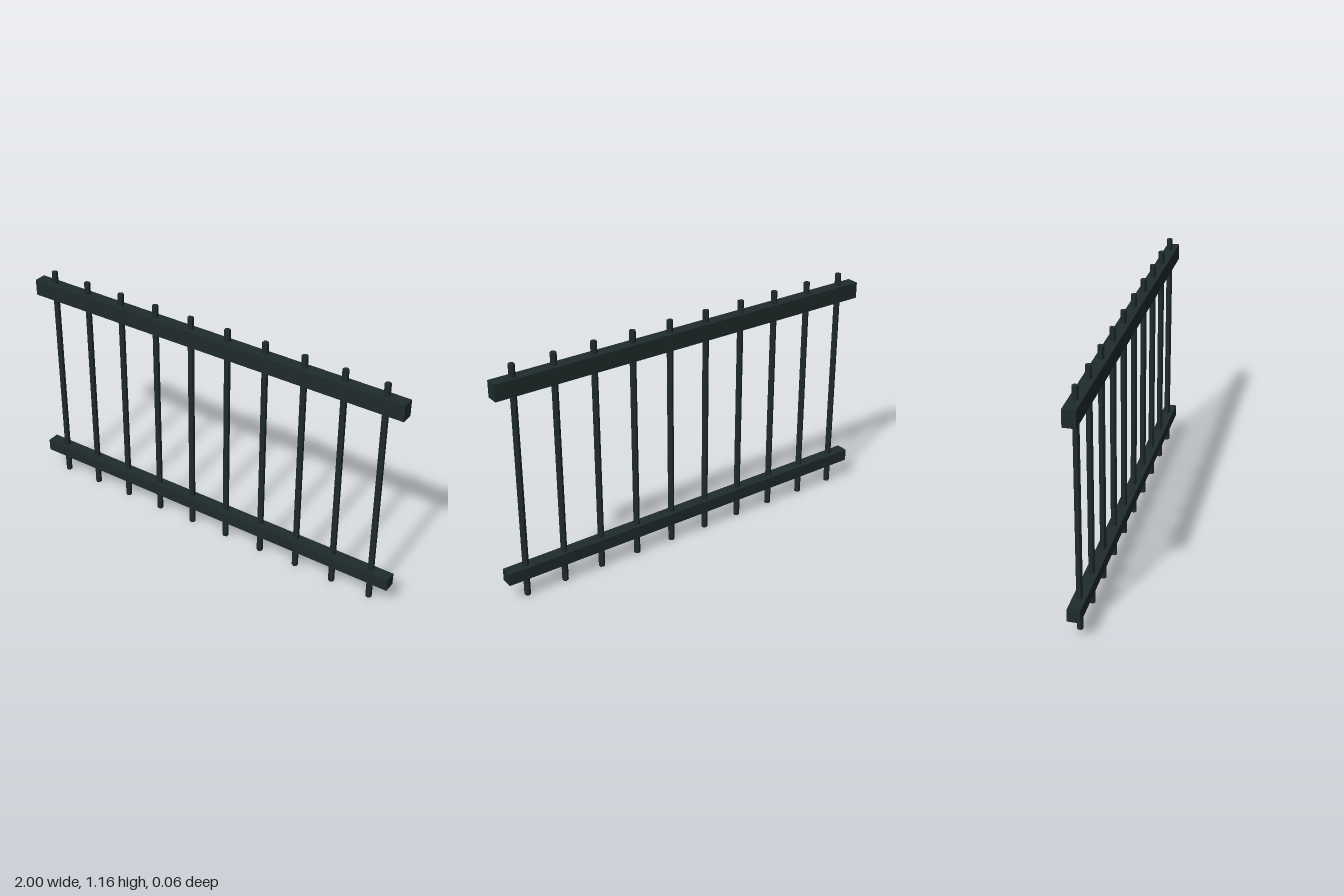
import * as THREE from 'three';

export function createModel() {
  const group = new THREE.Group();
  group.name = 'railing';
  const iron = new THREE.MeshStandardMaterial({ color: 0x1f2b2b, flatShading: true });
  iron.name = 'dark iron';

  // Horizontal rails
  const addRail = (name, bottom, top) => {
    const rail = new THREE.Mesh(new THREE.BoxGeometry(2, top - bottom, 0.06), iron);
    rail.position.y = (bottom + top) / 2;
    rail.name = name;
    group.add(rail);
  };
  addRail('topRail', 1.02, 1.1);
  addRail('bottomRail', 0.1, 0.16);

  // Ten evenly spaced six-sided bars, running through both rails
  const height = 1.16;
  const barGeometry = new THREE.CylinderGeometry(0.015, 0.015, height, 6);
  for (let i = 0; i < 10; i++) {
    const bar = new THREE.Mesh(barGeometry, iron);
    bar.position.set(-0.9 + i * 0.2, height / 2, 0);
    bar.name = `bar${i + 1}`;
    group.add(bar);
  }
  return group;
}
